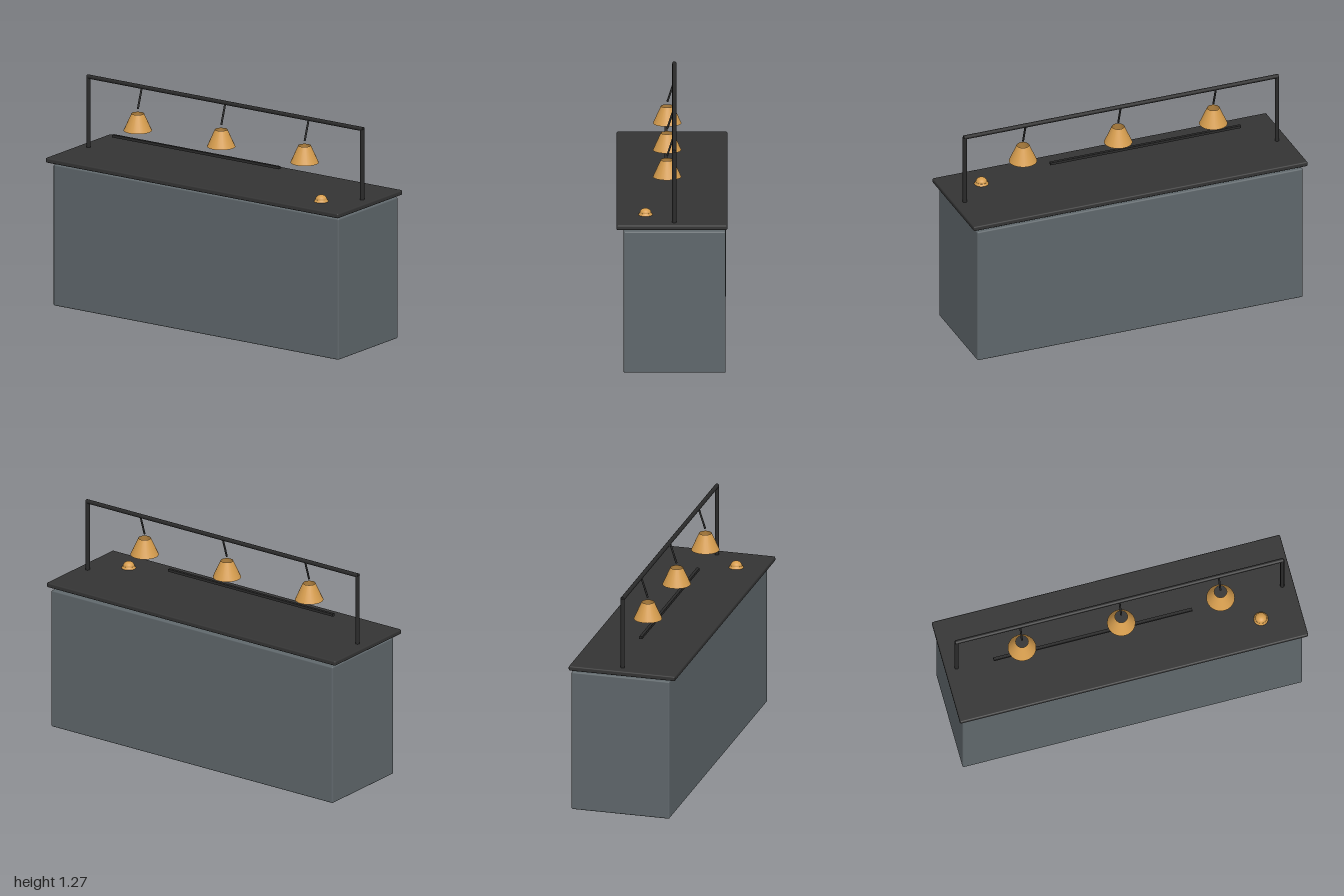
import * as THREE from 'three';
import { RoundedBoxGeometry } from 'three/addons/geometries/RoundedBoxGeometry.js';

const paint = (name, color, side = THREE.FrontSide) => {
  const m = new THREE.MeshStandardMaterial({ color, side });
  m.name = name;
  return m;
};

export function createModel() {
  const group = new THREE.Group();
  group.name = 'servingCounter';
  const slate = paint('slateGrey', 0x5f676b);
  const charcoal = paint('charcoal', 0x343434);
  const black = paint('blackMetal', 0x2a2a2a);
  const brass = paint('brass', 0xd69d4e, THREE.DoubleSide);

  const add = (name, geometry, material, x, y, z) => {
    const mesh = new THREE.Mesh(geometry, material);
    mesh.name = name;
    mesh.position.set(x, y, z);
    group.add(mesh);
    return mesh;
  };

  // Round bar between two points
  const rod = (name, a, b, radius) => {
    const from = new THREE.Vector3(...a), to = new THREE.Vector3(...b);
    const dir = to.clone().sub(from);
    const mid = from.clone().add(to).multiplyScalar(0.5);
    const mesh = add(name, new THREE.CylinderGeometry(radius, radius, dir.length(), 12), black, mid.x, mid.y, mid.z);
    mesh.quaternion.setFromUnitVectors(new THREE.Vector3(0, 1, 0), dir.normalize());
  };

  // Cabinet and worktop, with a narrow shadow gap between them
  add('cabinet', new RoundedBoxGeometry(1.95, 0.812, 0.566, 3, 0.008), slate, 0, 0.406, -0.015);
  add('worktop', new RoundedBoxGeometry(2, 0.028, 0.615, 3, 0.008), charcoal, 0, 0.841, 0);

  // Lamp gantry
  const railY = 1.261, railZ = -0.013;
  for (const side of [-1, 1]) {
    rod('gantryPost', [side * 0.935, 0.85, railZ], [side * 0.935, railY, railZ], 0.012);
  }
  rod('gantryRail', [-0.942, railY, railZ], [0.942, railY, railZ], 0.012);

  // Three lamps hung from slanted stems, shades open at both ends
  for (const x of [-0.57, 0, 0.57]) {
    rod('lampStem', [x, 1.255, -0.011], [x, 1.142, 0.026], 0.0055);
    add('lampShade', new THREE.CylinderGeometry(0.035, 0.079, 0.098, 24, 1, true), brass, x, 1.068, 0.027);
  }

  // Ticket rail
  add('ticketRail', new THREE.BoxGeometry(1.14, 0.015, 0.017), black, -0.165, 0.963, 0.033);

  // Service bell: flared base and domed top
  add('bellBase', new THREE.CylinderGeometry(0.033, 0.041, 0.013, 24), brass, 0.77, 0.8605, 0.147);
  const dome = add('bellDome', new THREE.SphereGeometry(0.032, 24, 8, 0, Math.PI * 2, 0, Math.PI / 2), brass, 0.77, 0.867, 0.147);
  dome.scale.y = 0.78;

  return group;
}
